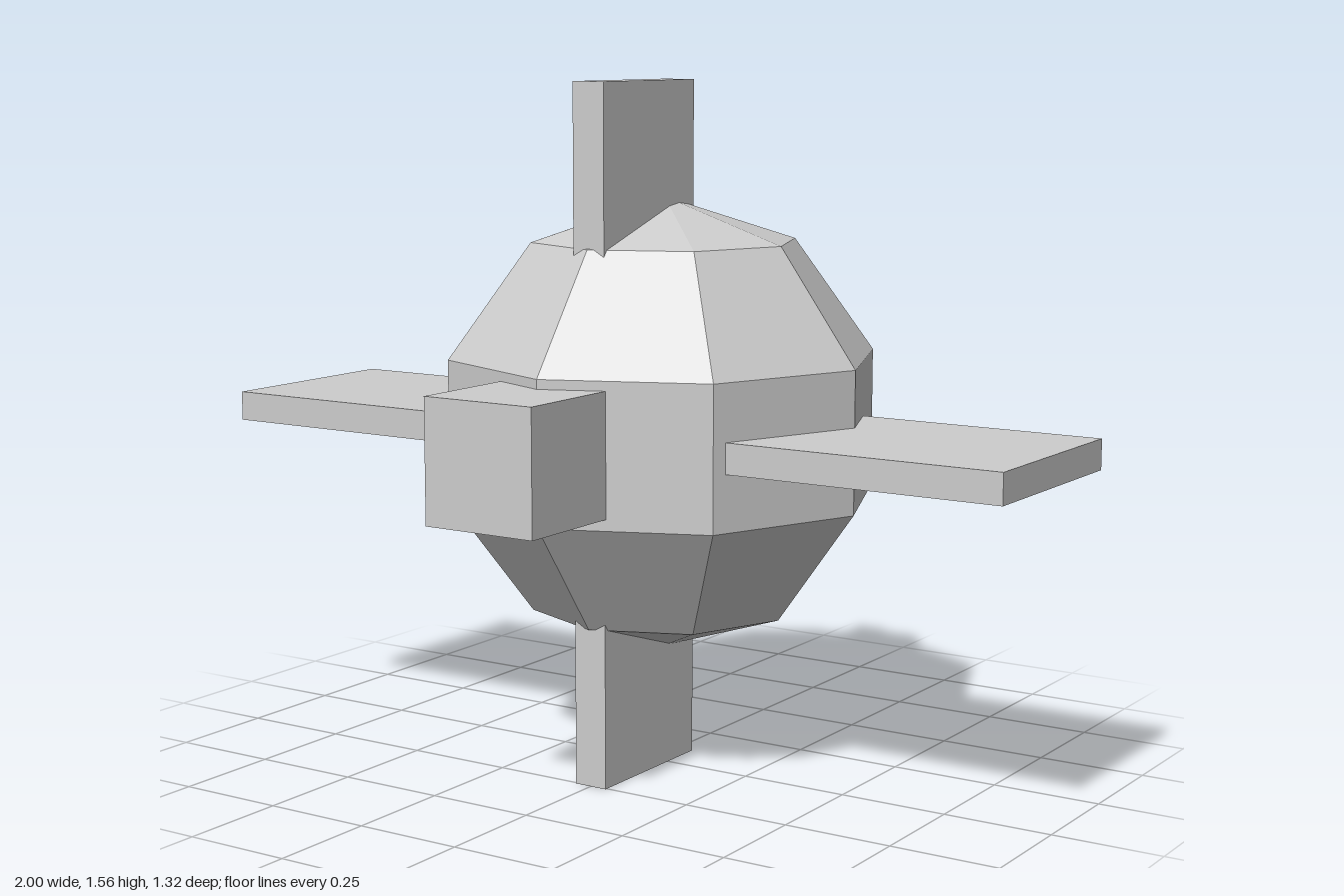
import * as THREE from 'three';

export function createModel() {
  const model = new THREE.Group();
  const grey = new THREE.MeshStandardMaterial({ color: 0xcccccc, flatShading: true });
  grey.name = 'grey';

  function add(name, geometry, x, y, z) {
    const mesh = new THREE.Mesh(geometry, grey);
    mesh.name = name;
    mesh.position.set(x, y, z);
    model.add(mesh);
  }

  const midY = 0.781;

  // Faceted round body
  add('body', new THREE.SphereGeometry(0.52, 8, 5), 0, midY, -0.045);

  // Smaller faceted bulb at the back
  add('backBulb', new THREE.SphereGeometry(0.22, 6, 4), 0, midY, -0.467);

  // Square block at the front, sunk into the body
  add('frontBlock', new THREE.BoxGeometry(0.275, 0.275, 0.275), 0, midY + 0.002, 0.52);

  // Flat side wings and upright fins, rooted inside the body
  for (const side of [1, -1]) {
    const label = side > 0 ? 'left' : 'right';
    add(label + 'Wing', new THREE.BoxGeometry(0.7, 0.068, 0.485), side * 0.65, midY, 0.033);
    const fin = side > 0 ? 'topFin' : 'bottomFin';
    add(fin, new THREE.BoxGeometry(0.08, 0.481, 0.36), 0, midY + side * 0.5405, 0.075);
  }

  return model;
}
